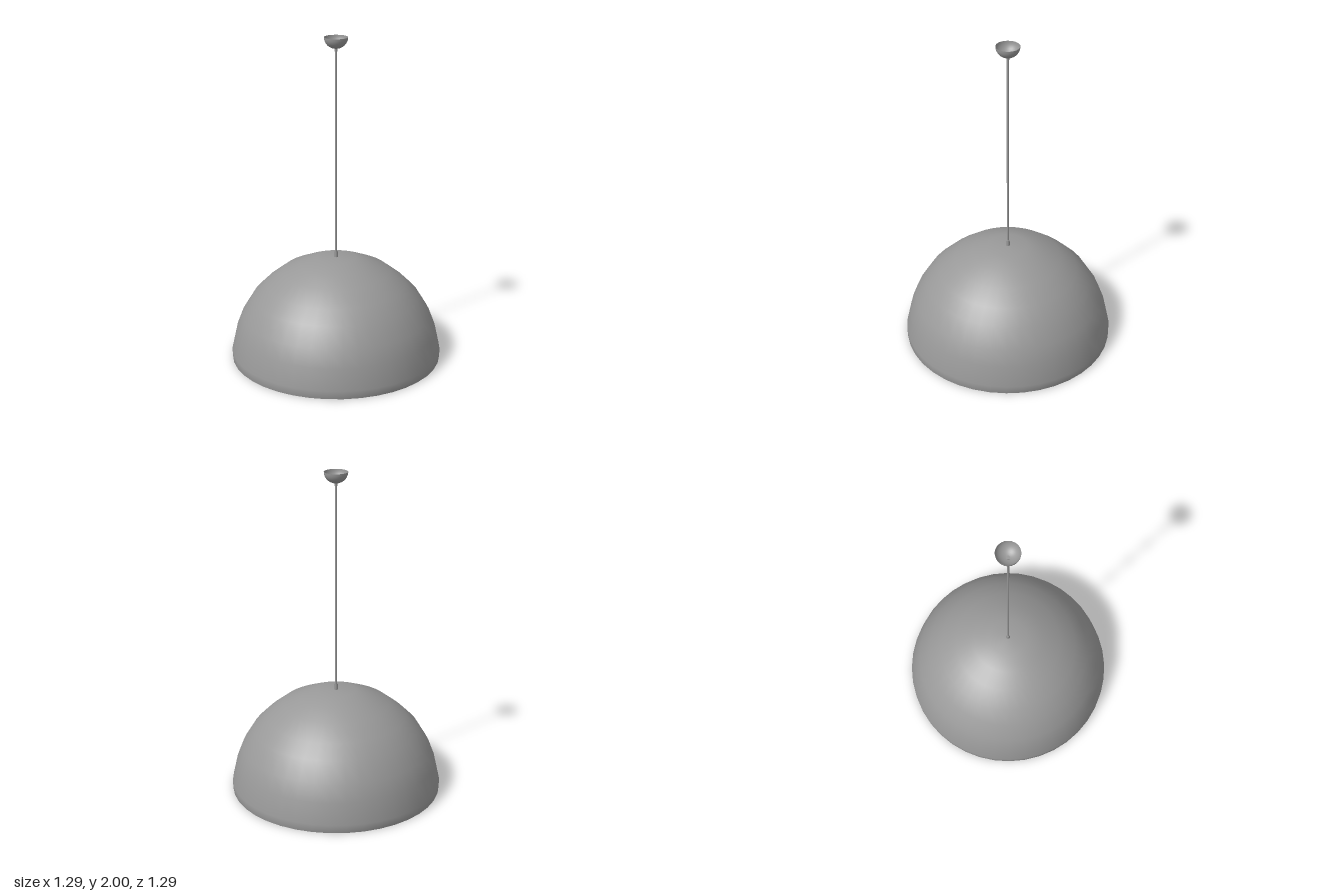
import * as THREE from 'three';

const material = new THREE.MeshStandardMaterial({ color: 0x999999 });
const openMaterial = new THREE.MeshStandardMaterial({ color: 0x999999, side: THREE.DoubleSide });

export function createModel() {
  const group = new THREE.Group();

  const add = (name, geometry, y = 0, mat = material) => {
    const mesh = new THREE.Mesh(geometry, mat);
    mesh.name = name;
    mesh.position.y = y;
    group.add(mesh);
  };
  const lathe = (points, segments) =>
    new THREE.LatheGeometry(points.map(([r, y]) => new THREE.Vector2(r, y)), segments);
  const rod = (name, rTop, rBottom, y0, y1, sides) =>
    add(name, new THREE.CylinderGeometry(rTop, rBottom, y1 - y0, sides), (y0 + y1) / 2);

  // Domed shade: thin shell, inner wall down to the rim, then outer wall up to the flat crown
  const outer = [
    [0.645, 0], [0.647, 0.05], [0.618, 0.18], [0.58, 0.28], [0.51, 0.395],
    [0.43, 0.475], [0.33, 0.553], [0.22, 0.602], [0.12, 0.64], [0, 0.642],
  ];
  const inner = outer.map(([r, y]) => [r * 0.988, y * 0.988]).reverse();
  add('shade', lathe([...inner, ...outer], 40));

  // Bulb and socket hanging inside the shade
  const bulb = [];
  for (let i = 0; i <= 10; i++) {
    const a = -Math.PI / 2 + (i / 10) * Math.PI * 0.86;
    bulb.push([Math.max(0, 0.081 * Math.cos(a)), 0.412 + 0.081 * Math.sin(a)]);
  }
  add('bulb', lathe([...bulb, [0.03, 0.53]], 20));
  rod('socket', 0.034, 0.034, 0.525, 0.636, 16);

  // Cord with a ferrule at each end
  rod('cord', 0.007, 0.007, 0.63, 1.935, 8);
  rod('lowerFerrule', 0.011, 0.013, 0.635, 0.678, 12);
  rod('upperFerrule', 0.011, 0.009, 1.915, 1.94, 12);

  // Ceiling cup, open at the top
  const cup = [];
  for (let i = 0; i <= 10; i++) {
    const a = (i / 10) * Math.PI / 2;
    cup.push([0.071 * Math.sin(a), 2 - 0.068 * Math.cos(a)]);
  }
  add('ceilingCup', lathe(cup, 32), 0, openMaterial);

  return group;
}
